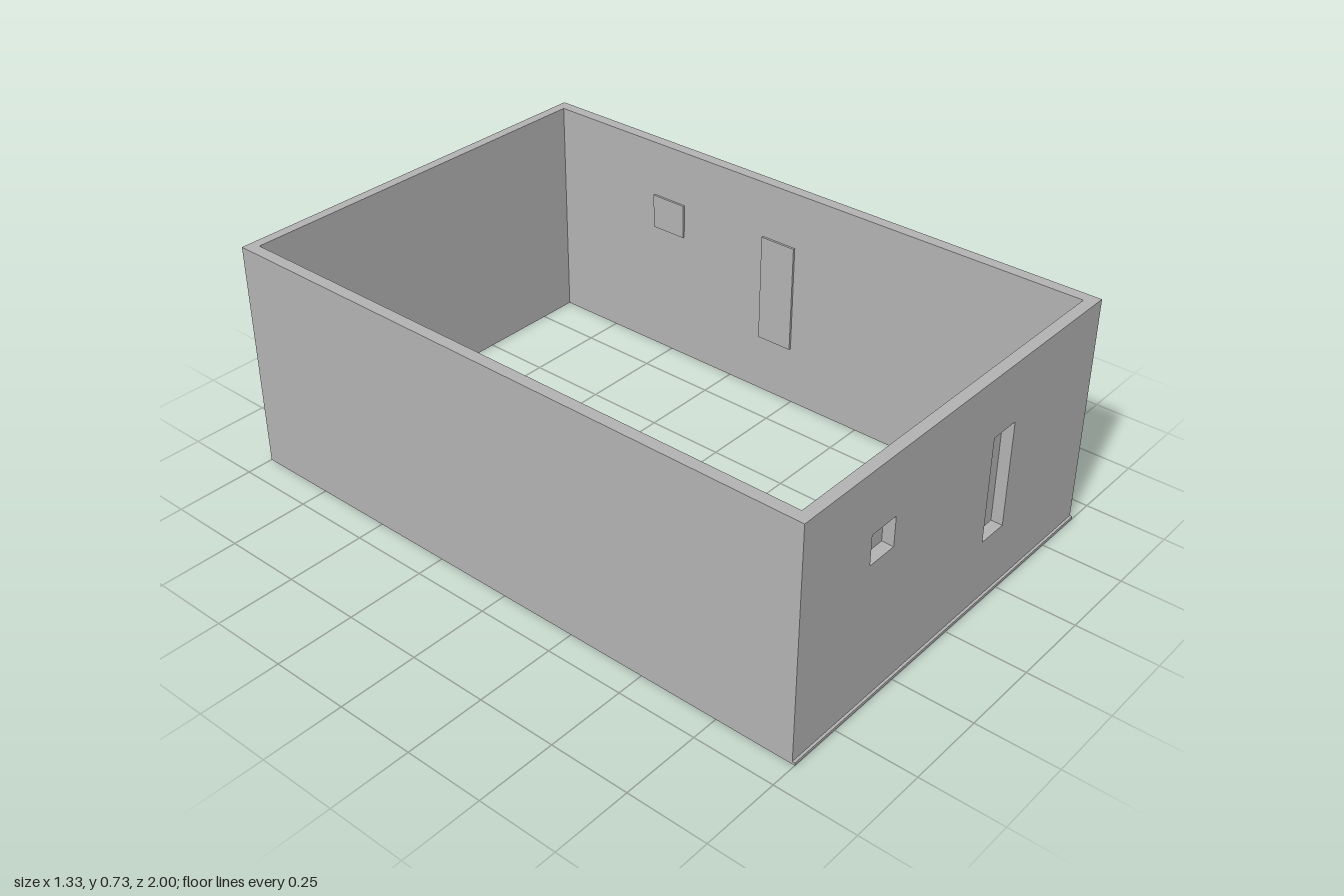
import * as THREE from 'three';

const W = 0.664, H = 0.733;           // half width, wall height
const IN_X = 0.627;                   // inner face of the side walls
const FRONT = 0.992, IN_FRONT = 0.956;
const BACK = -1, IN_BACK = -0.968;
const LIP = 0.007;                    // inner margin and thickness of the opening covers

export function createModel() {
  const group = new THREE.Group();
  const grey = new THREE.MeshStandardMaterial({ color: 0xb2b2b2 });
  grey.name = 'wallGrey';

  const add = (name, geometry, parent = group) => {
    const mesh = new THREE.Mesh(geometry, grey);
    mesh.name = name;
    parent.add(mesh);
    return mesh;
  };
  const box = (name, x0, x1, y0, y1, z0, z1, parent) =>
    add(name, new THREE.BoxGeometry(x1 - x0, y1 - y0, z1 - z0), parent)
      .position.set((x0 + x1) / 2, (y0 + y1) / 2, (z0 + z1) / 2);

  // Wall in its own xy plane, outer face toward +z; openings are [u0, u1, v0, v1]
  const piercedWall = (name, u0, u1, depth, openings) => {
    const wall = new THREE.Group();
    wall.name = name;
    const rect = (Type, a, b, c, d) => new Type([[a, c], [b, c], [b, d], [a, d]]
      .map(([x, y]) => new THREE.Vector2(x, y)));
    const shape = rect(THREE.Shape, u0, u1, 0, H);
    for (const o of openings) shape.holes.push(rect(THREE.Path, ...o));
    add(name + 'Panel', new THREE.ExtrudeGeometry(shape, { depth, bevelEnabled: false }), wall);
    // Thin covers close the openings from the inside
    for (const [a, b, c, d] of openings)
      box('openingCover', a - 0.01, b + 0.01, c - 0.01, d + 0.01, -LIP, 0, wall);
    group.add(wall);
    return wall;
  };

  // Front wall with a small window and a tall slot
  piercedWall('frontWall', -W, W, FRONT - IN_FRONT,
    [[-0.383, -0.283, 0.447, 0.54], [0.16, 0.26, 0.203, 0.54]]).position.z = IN_FRONT;

  // Left wall with the same pair; its u axis runs toward -z
  const side = piercedWall('leftWall', -IN_FRONT, -IN_BACK, W - IN_X,
    [[0.02, 0.123, 0.203, 0.54], [0.459, 0.562, 0.447, 0.54]]);
  side.rotation.y = Math.PI / 2;
  side.position.x = IN_X;

  // Plain walls
  box('rightWall', -W, -IN_X, 0, H, IN_BACK, IN_FRONT);
  box('backWall', -W, W, 0, H, BACK, IN_BACK);

  // Narrow ledge along the foot of the front wall
  box('frontLedge', -W, W, 0, 0.009, FRONT, 1);
  return group;
}
